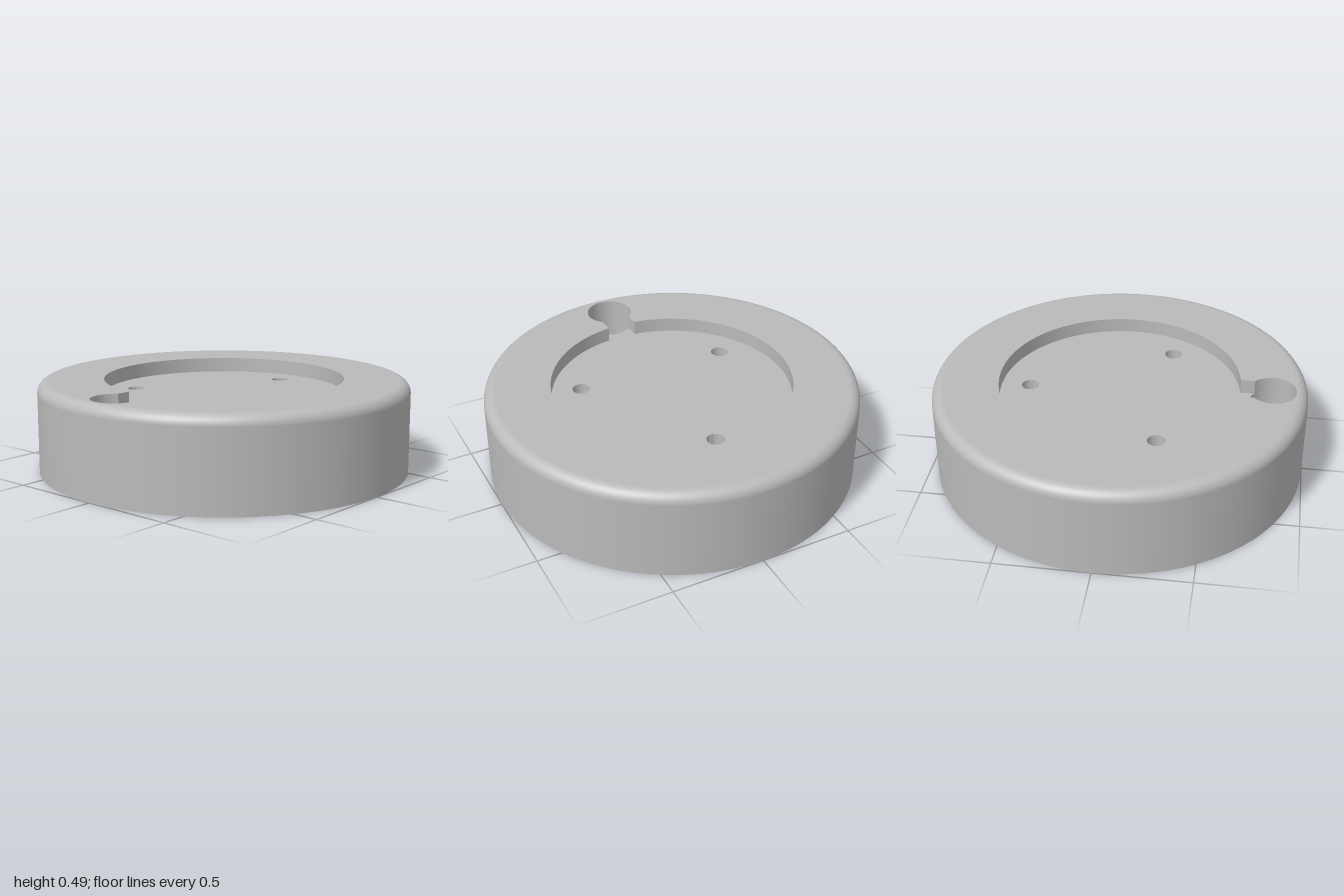
import * as THREE from 'three';
import { toCreasedNormals } from 'three/addons/utils/BufferGeometryUtils.js';

const HEIGHT = 0.49, FILLET = 0.06, FLOOR = 0.41, SCREW_BOTTOM = 0.21;
const RECESS_R = 0.645, HOLE_R = 0.125, HOLE_Z = 0.812, SLOT = 0.08, SCREW_R = 0.047;

// Arc in plan as (x, z) points; angle 0 faces the front
function arc(cx, cz, r, from, to, n) {
  return Array.from({ length: n + 1 }, (_, i) => {
    const a = from + (to - from) * i / n;
    return new THREE.Vector2(cx + r * Math.sin(a), cz + r * Math.cos(a));
  });
}
const circle = (cx, cz, r, n) => arc(cx, cz, r, 0, 2 * Math.PI, n).slice(0, -1);

// Horizontal face with openings, facing up or down
function flat(outline, openings, y, up = true) {
  const s = up ? -1 : 1;
  const place = pts => pts.map(p => new THREE.Vector2(p.x, s * p.y));
  const shape = new THREE.Shape(place(outline));
  shape.holes = openings.map(o => new THREE.Path(place(o)));
  return new THREE.ShapeGeometry(shape).rotateX(s * Math.PI / 2).translate(0, y, 0);
}

// Vertical wall around a closed contour, facing inward
function wall(pts, y0, y1) {
  const pos = [];
  pts.forEach((p, i) => {
    const q = pts[(i + 1) % pts.length];
    pos.push(p.x, y0, p.y, p.x, y1, p.y, q.x, y1, q.y);
    pos.push(p.x, y0, p.y, q.x, y1, q.y, q.x, y0, q.y);
  });
  const g = new THREE.BufferGeometry();
  g.setAttribute('position', new THREE.Float32BufferAttribute(pos, 3));
  return toCreasedNormals(g, 0.5);
}

export function createModel() {
  const model = new THREE.Group();
  const grey = new THREE.MeshStandardMaterial({ color: 0xbababa });
  grey.name = 'grey';
  const add = (name, geometry) => {
    const mesh = new THREE.Mesh(geometry, grey);
    mesh.name = name;
    model.add(mesh);
  };

  // Plan contours: round recess joined to the cable hole by a short slot
  const aR = Math.asin(SLOT / RECESS_R), aH = Math.asin(SLOT / HOLE_R);
  const recess = arc(0, 0, RECESS_R, aR, 2 * Math.PI - aR, 120);
  const keyhole = [...recess, ...arc(0, HOLE_Z, HOLE_R, aH - Math.PI, Math.PI - aH, 48)];
  const floor = [...recess, ...arc(0, HOLE_Z, HOLE_R, Math.PI + aH, Math.PI - aH, 16)];
  const cableHole = circle(0, HOLE_Z, HOLE_R, 64);
  const screws = [1, 3, 5].map(k => {
    const a = k * Math.PI / 3;
    return circle(0.49 * Math.sin(a), 0.49 * Math.cos(a), SCREW_R, 32);
  });

  // Outer side with rounded top edge
  const profile = [new THREE.Vector2(1, 0)];
  for (let i = 0; i <= 10; i++) {
    const a = i / 10 * Math.PI / 2;
    profile.push(new THREE.Vector2(1 - FILLET + FILLET * Math.cos(a), HEIGHT - FILLET + FILLET * Math.sin(a)));
  }
  add('outerSide', new THREE.LatheGeometry(profile, 144));

  // Horizontal faces
  add('topRim', flat(circle(0, 0, 1 - FILLET, 144), [keyhole], HEIGHT));
  add('recessFloor', flat(floor, screws, FLOOR));
  add('underside', flat(circle(0, 0, 1, 144), [cableHole], 0, false));

  // Inner walls
  add('recessWall', wall(keyhole, FLOOR, HEIGHT));
  add('cableHoleWall', wall(cableHole, 0, FLOOR));

  // Blind screw holes
  for (const s of screws) {
    add('screwHoleWall', wall(s, SCREW_BOTTOM, FLOOR));
    add('screwHoleBottom', flat(s, [], SCREW_BOTTOM));
  }
  return model;
}
